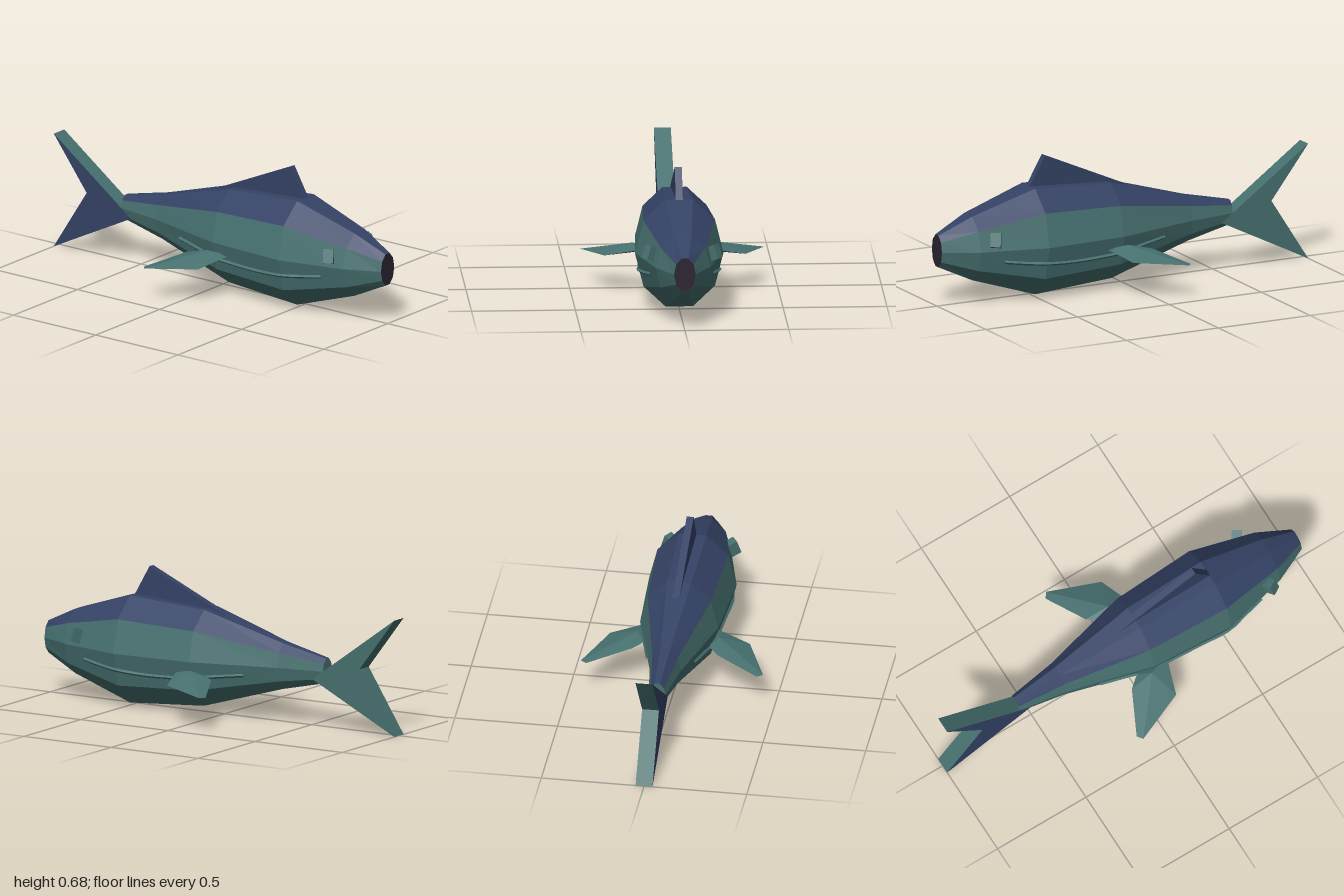
import * as THREE from 'three';

const teal = new THREE.MeshStandardMaterial({ color: 0x46706f, name: 'teal' });
const navy = new THREE.MeshStandardMaterial({ color: 0x344265, name: 'navy' });
const dark = new THREE.MeshStandardMaterial({ color: 0x2a2431, name: 'mouth dark' });

// Body stations: z, half width, half height
const MID = 0.28, SIDES = 10;
const stations = [
  [1, 0.052, 0.083], [0.83, 0.133, 0.166], [0.5, 0.213, 0.276],
  [0.08, 0.19, 0.247], [-0.35, 0.077, 0.118], [-0.59, 0.04, 0.063],
];

function named(name, geo, mat) {
  const mesh = new THREE.Mesh(geo, mat);
  mesh.name = name;
  return mesh;
}

// Flat-faced geometry with one material group per triangle list
function faceted(lists) {
  const geo = new THREE.BufferGeometry();
  let start = 0;
  lists.forEach((list, i) => {
    geo.addGroup(start, list.length, i);
    start += list.length;
  });
  geo.setAttribute('position', new THREE.Float32BufferAttribute(lists.flat(2), 3));
  geo.computeVertexNormals();
  return geo;
}

function flat(geo) {
  const g = geo.index ? geo.toNonIndexed() : geo;
  g.computeVertexNormals();
  return g;
}

// Ten-sided body with a navy back and a blunt dark mouth
function body() {
  const ring = ([z, rx, ry]) => Array.from({ length: SIDES }, (_, k) => {
    const a = (k * 2 * Math.PI) / SIDES;
    return [rx * Math.cos(a), MID + ry * Math.sin(a), z];
  });
  const rings = stations.map(ring);
  const side = [], back = [], mouth = [];
  const nose = [0, MID, 1], tail = [0, MID, -0.59];
  const last = rings[rings.length - 1];
  for (let k = 0; k < SIDES; k++) {
    const n = (k + 1) % SIDES;
    const out = k >= 1 && k <= 3 ? back : side;
    for (let i = 0; i < rings.length - 1; i++) {
      const a = rings[i][k], b = rings[i][n], c = rings[i + 1][k], d = rings[i + 1][n];
      out.push(a, c, b, b, c, d);
    }
    mouth.push(nose, rings[0][k], rings[0][n]);
    side.push(tail, last[n], last[k]);
  }
  return named('body', faceted([side, back, mouth]), [teal, navy, dark]);
}

// Upright plate from a [z, y] outline, centred on x = 0
function plate(outline, width) {
  const shape = new THREE.Shape(outline.map(([z, y]) => new THREE.Vector2(-z, y)));
  const geo = new THREE.ExtrudeGeometry(shape, { depth: width, bevelEnabled: false });
  return flat(geo.translate(0, 0, -width / 2).rotateY(Math.PI / 2));
}

// Tail fin: its right face is navy, the rest teal
function tailFin() {
  const geo = plate([[-0.53, 0.238], [-1, 0.005], [-0.8, 0.315], [-1, 0.575]], 0.082);
  const pos = geo.attributes.position, nor = geo.attributes.normal;
  const lists = [[], []];
  for (let i = 0; i < pos.count; i++) {
    lists[nor.getX(i) < -0.5 ? 1 : 0].push([pos.getX(i), pos.getY(i), pos.getZ(i)]);
  }
  return named('tailFin', faceted(lists), [teal, navy]);
}

// Pectoral fin: teal above, navy below
function pectoralFin(s) {
  const outline = [
    [0.16, 0.222, 0.17], [0.2, 0.218, 0.155], [0.34, 0.188, 0.11], [0.443, 0.169, -0.14],
    [0.415, 0.168, -0.16], [0.21, 0.21, -0.06], [0.16, 0.215, 0],
  ];
  const flip = ([x, y, z]) => [s * x, y, z];
  const high = flip([0.2, 0.24, 0.06]), low = flip([0.22, 0.188, 0.05]);
  const top = [], under = [];
  outline.forEach((p, i) => {
    const a = flip(p), b = flip(outline[(i + 1) % outline.length]);
    top.push(high, ...(s > 0 ? [a, b] : [b, a]));
    under.push(low, ...(s > 0 ? [b, a] : [a, b]));
  });
  return named(s > 0 ? 'leftPectoralFin' : 'rightPectoralFin', faceted([top, under]), [teal, navy]);
}

// Body surface x below the mid line at a given height and z
function surfaceX(y, z) {
  let i = 0;
  while (i < stations.length - 2 && stations[i + 1][0] > z) i++;
  const [z0, x0, h0] = stations[i], [z1, x1, h1] = stations[i + 1];
  const t = (z0 - z) / (z0 - z1);
  const rx = x0 + (x1 - x0) * t, ry = h0 + (h1 - h0) * t;
  return rx * (1 - 0.325 * (MID - y) / ry);
}

// Raised line along the flank
function sideLine(s) {
  const path = [
    [0.71, 0.222], [0.6, 0.207], [0.5, 0.198], [0.35, 0.188], [0.2, 0.19],
    [0.08, 0.198], [-0.05, 0.215], [-0.18, 0.23],
  ].map(([z, y]) => new THREE.Vector3(s * (surfaceX(y, z) + 0.002), y, z));
  const geo = new THREE.TubeGeometry(new THREE.CatmullRomCurve3(path), 24, 0.009, 4);
  return named(s > 0 ? 'leftSideLine' : 'rightSideLine', flat(geo), teal);
}

// Small block eye set square to the cheek
function eye(s) {
  const mesh = named(s > 0 ? 'leftEye' : 'rightEye', new THREE.BoxGeometry(0.05, 0.068, 0.05), teal);
  mesh.position.set(s * 0.153, 0.336, 0.76);
  mesh.rotation.set(0, -s * 0.55, s * 0.35);
  return mesh;
}

export function createModel() {
  const fish = new THREE.Group();
  fish.name = 'fish';
  const dorsal = plate([[0.51, 0.53], [0.42, 0.686], [-0.02, 0.49], [0.1, 0.47]], 0.034);
  fish.add(body(), tailFin(), named('dorsalFin', dorsal, navy));
  for (const s of [1, -1]) fish.add(pectoralFin(s), sideLine(s), eye(s));
  return fish;
}
